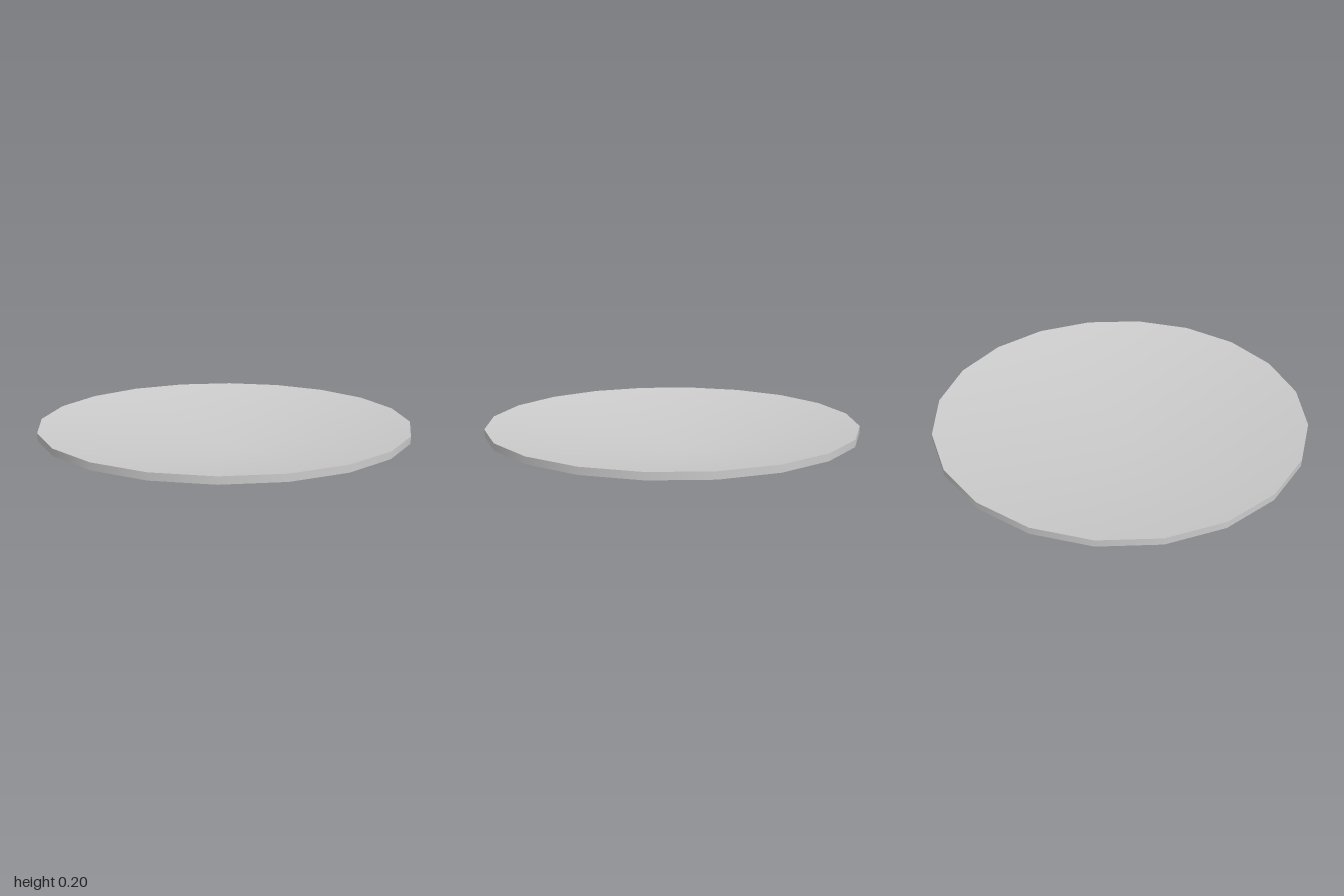
import * as THREE from 'three';
import { mergeVertices } from 'three/addons/utils/BufferGeometryUtils.js';

const SIDES = 20;
const RADIUS = 1;
const TOP = 0.2;         // height of the upper rim edge
const THICKNESS = 0.038; // wall thickness of the dish
const DEPTH = TOP - THICKNESS;

// A shallow cone pointing down, facing up or down, with smooth normals across its tip
function dishSurface(facing, rimY) {
  const geometry = new THREE.CircleGeometry(RADIUS, SIDES);
  geometry.rotateX(-facing * Math.PI / 2);
  geometry.translate(0, rimY, 0);
  geometry.attributes.position.setY(0, rimY - DEPTH);
  geometry.deleteAttribute('uv');
  geometry.deleteAttribute('normal');
  const smooth = mergeVertices(geometry);
  smooth.computeVertexNormals();
  return smooth;
}

export function createModel() {
  const group = new THREE.Group();
  group.name = 'shallowDish';
  const material = new THREE.MeshStandardMaterial({ color: 0xcccccc });

  const add = (name, geometry) => {
    const mesh = new THREE.Mesh(geometry, material);
    mesh.name = name;
    group.add(mesh);
  };

  // Hollow upper face and pointed underside
  add('innerSurface', dishSurface(1, TOP));
  add('underside', dishSurface(-1, TOP - THICKNESS));

  // Upright band around the edge
  const rim = new THREE.CylinderGeometry(RADIUS, RADIUS, THICKNESS, SIDES, 1, true);
  rim.translate(0, TOP - THICKNESS / 2, 0);
  add('rim', rim);

  return group;
}
